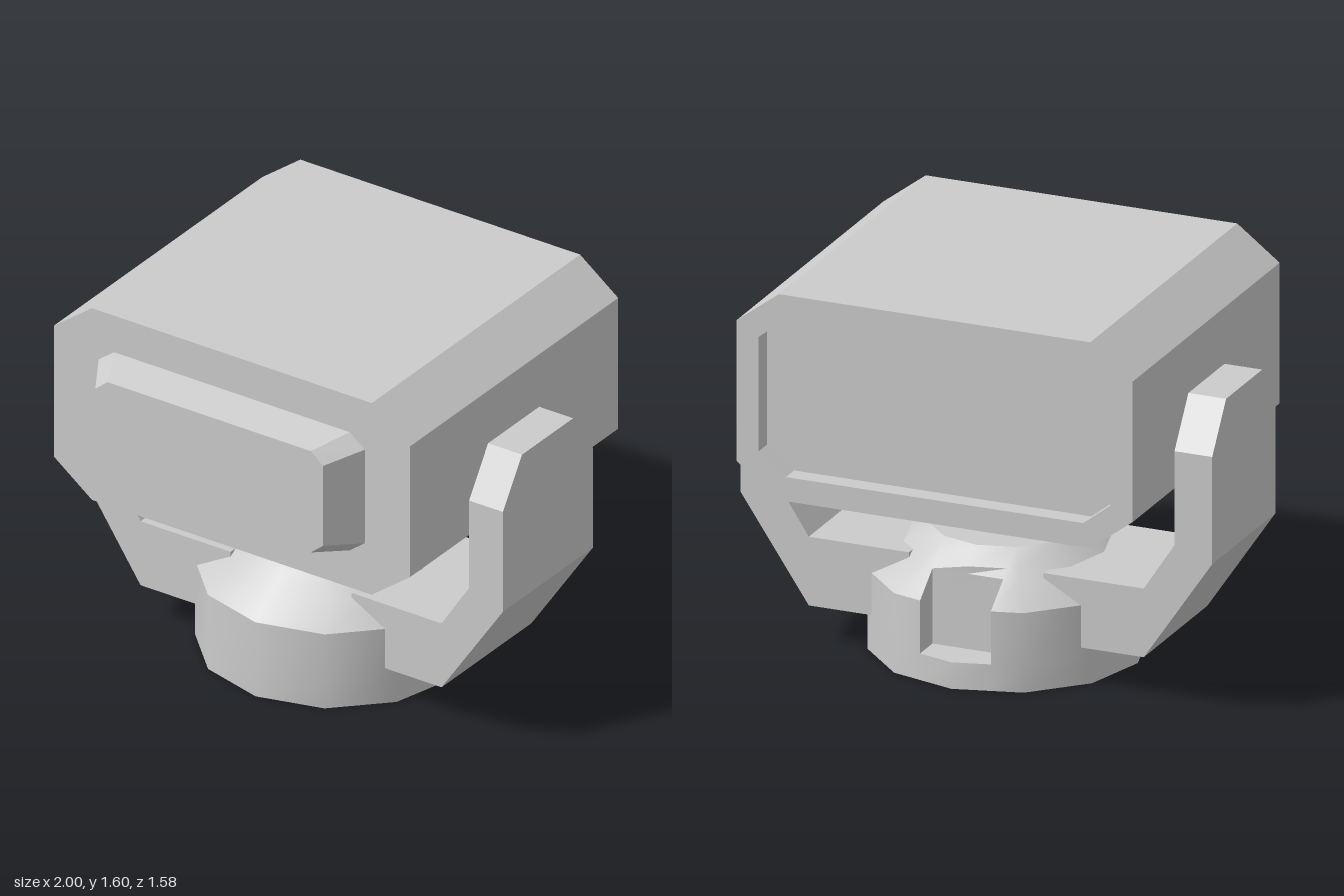
import * as THREE from 'three';
import { toCreasedNormals } from 'three/addons/utils/BufferGeometryUtils.js';

const material = new THREE.MeshStandardMaterial({ color: 0xcccccc });

// Skin a list of equal-length rings (counter-clockwise about the direction of travel) and cap both ends.
function loft(name, rings) {
  const pos = [];
  const area = new THREE.Triangle();
  const tri = (a, b, c) => {
    if (area.set(a, b, c).getArea() > 1e-7) for (const p of [a, b, c]) pos.push(p.x, p.y, p.z);
  };
  const n = rings[0].length;
  for (let i = 0; i < rings.length - 1; i++) {
    for (let j = 0; j < n; j++) {
      const k = (j + 1) % n;
      tri(rings[i][j], rings[i][k], rings[i + 1][k]);
      tri(rings[i][j], rings[i + 1][k], rings[i + 1][j]);
    }
  }
  const centre = (ring) => ring.reduce((s, p) => s.add(p), new THREE.Vector3()).divideScalar(n);
  const first = rings[0], last = rings[rings.length - 1];
  const c0 = centre(first), c1 = centre(last);
  for (let j = 0; j < n; j++) {
    const k = (j + 1) % n;
    tri(c0, first[k], first[j]);
    tri(c1, last[j], last[k]);
  }
  const geometry = new THREE.BufferGeometry();
  geometry.setAttribute('position', new THREE.Float32BufferAttribute(pos, 3));
  const mesh = new THREE.Mesh(toCreasedNormals(geometry, 0.55), material);
  mesh.name = name;
  return mesh;
}

const v = (x, y, z) => new THREE.Vector3(x, y, z);

// Rectangle with cut corners, facing +z
function cutRect(w, y0, y1, cx, cy, z) {
  return [
    v(w, y0 + cy, z), v(w, y1 - cy, z), v(w - cx, y1, z), v(cx - w, y1, z),
    v(-w, y1 - cy, z), v(-w, y0 + cy, z), v(cx - w, y0, z), v(w - cx, y0, z),
  ];
}

// Twelve-sided ring of the base; inside the rear slot its points are held at the slot's inner wall
const baseZ = -0.077, slotHalf = 0.15, slotDepth = -0.39;
function baseRing(r, y, slotted) {
  const corner = (i) => v(r * Math.sin(i * Math.PI / 6), y, baseZ + r * Math.cos(i * Math.PI / 6));
  const rear = (x, cut) => {
    const z = -(r - Math.abs(x) * Math.tan(Math.PI / 12));
    return v(x, y, baseZ + (cut && slotted ? Math.max(z, slotDepth) : z));
  };
  return [
    ...[0, 1, 2, 3, 4, 5].map(corner),
    rear(slotHalf, false), rear(slotHalf, true), rear(0, true), rear(-slotHalf, true), rear(-slotHalf, false),
    ...[7, 8, 9, 10, 11].map(corner),
  ];
}

// Bent bracket arm: stations of outer x,y, inner x,y and the z range
function arm(name, side) {
  const back = -0.385, front = 0.23;
  const stations = [
    [0.285, 0.155, 0.285, 0.44, back, front],
    [0.71, 0.155, 0.71, 0.44, back, front],
    [1, 0.585, 0.84, 0.64, back, front],
    [1, 1.03, 0.84, 1.03, back, front],
    [1, 1.225, 0.84, 1.225, -0.25, 0.1],
  ];
  return loft(name, stations.map(([ox, oy, ix, iy, z0, z1]) => {
    const ring = [v(side * ox, oy, z0), v(side * ix, iy, z0), v(side * ix, iy, z1), v(side * ox, oy, z1)];
    return side > 0 ? ring : ring.reverse();
  }));
}

export function createModel() {
  const model = new THREE.Group();
  model.name = 'swivelHeadOnBracket';

  // Housing with a shallow recess in its back
  model.add(loft('housing', [
    cutRect(0.745, 0.84, 1.495, 0.115, 0.09, -0.71),
    cutRect(0.745, 0.84, 1.495, 0.115, 0.09, -0.79),
    cutRect(0.84, 0.74, 1.595, 0.18, 0.136, -0.79),
    cutRect(0.84, 0.74, 1.595, 0.18, 0.136, 0.635),
  ]));

  // Tapered front panel
  model.add(loft('frontPanel', [
    cutRect(0.628, 0.905, 1.432, 0.072, 0.055, 0.635),
    cutRect(0.537, 0.943, 1.395, 0.057, 0.048, 0.79),
  ]));

  model.add(arm('leftArm', 1), arm('rightArm', -1));

  // Base with a sloped shoulder and a slot at the rear
  model.add(loft('base', [
    baseRing(0.55, 0, false),
    baseRing(0.55, 0.11, false),
    baseRing(0.55, 0.11, true),
    baseRing(0.55, 0.33, true),
    baseRing(0.43, 0.422, true),
    baseRing(0.39, 0.453, true),
    baseRing(0.31, 0.515, true),
  ]));

  return model;
}
